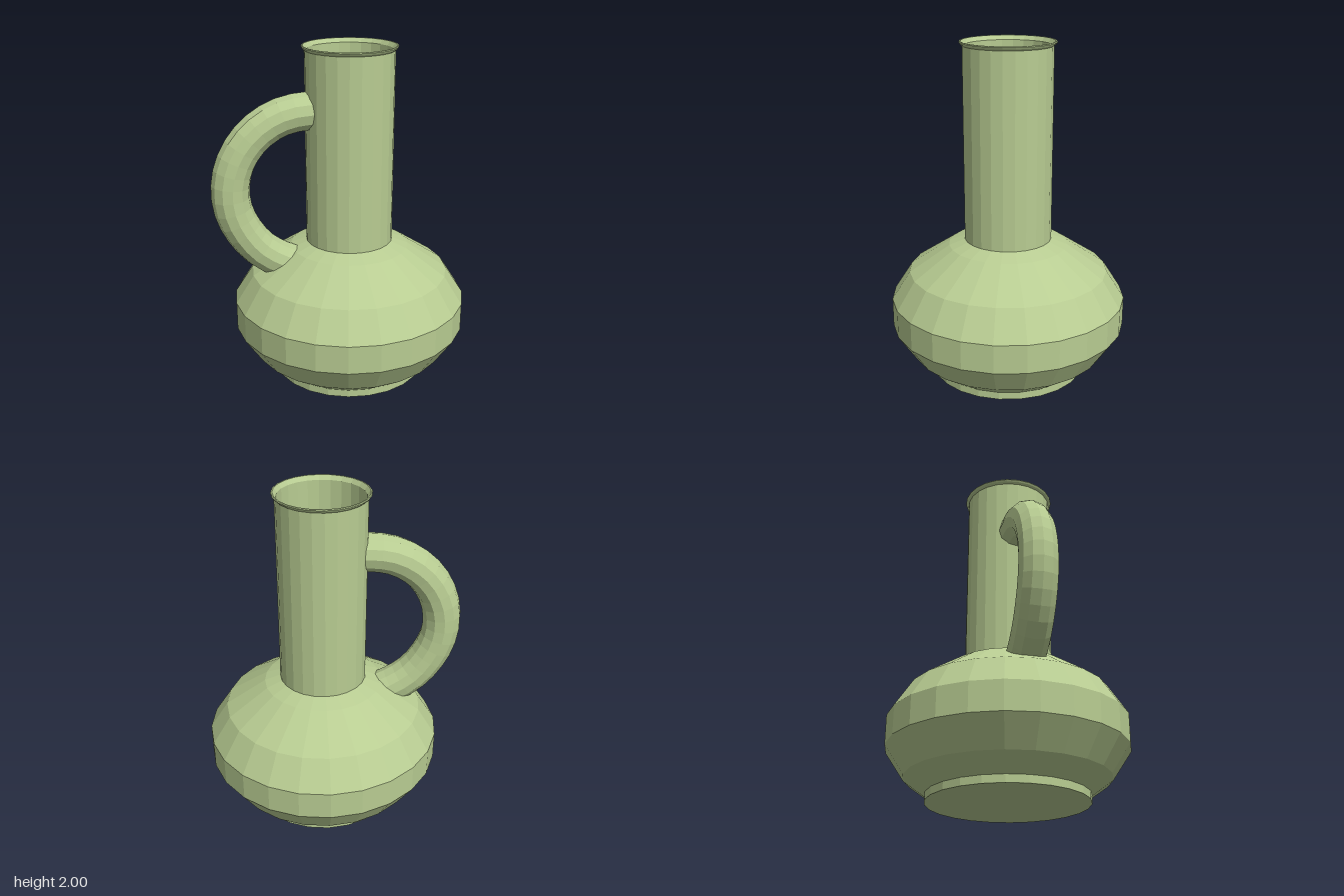
import * as THREE from 'three';

const SIDES = 24;
const AXIS_X = 0.06; // the jug's axis, shifted to balance the handle

function createLathe(name, profile, material) {
  const points = profile.map(([r, y]) => new THREE.Vector2(r, y));
  const mesh = new THREE.Mesh(new THREE.LatheGeometry(points, SIDES), material);
  mesh.name = name;
  mesh.position.x = AXIS_X;
  return mesh;
}

function createHandle(material) {
  // Round bow from the neck, then a straighter run into the shoulder
  const centre = new THREE.Vector2(-0.195, 1.18);
  const bow = 0.455;
  const points = [];
  for (let deg = 90; deg <= 210; deg += 15) {
    const a = THREE.MathUtils.degToRad(deg);
    points.push(new THREE.Vector3(centre.x + bow * Math.cos(a), centre.y + bow * Math.sin(a), 0));
  }
  for (const [x, y] of [[-0.505, 0.835], [-0.41, 0.76], [-0.29, 0.7], [-0.16, 0.64]]) {
    points.push(new THREE.Vector3(x, y, 0));
  }
  const radialSides = 12;
  const geometry = new THREE.TubeGeometry(new THREE.CatmullRomCurve3(points), 20, 0.113, radialSides, false);

  // Fit the upper end to the curve of the neck wall
  const pos = geometry.attributes.position;
  for (let i = 0; i <= radialSides; i++) {
    const z = pos.getZ(i);
    pos.setX(i, AXIS_X - Math.sqrt(0.2545 ** 2 - z * z));
  }
  const mesh = new THREE.Mesh(geometry, material);
  mesh.name = 'handle';
  return mesh;
}

export function createModel() {
  const glaze = new THREE.MeshStandardMaterial({ color: 0xb8cc92, flatShading: true });
  glaze.name = 'pale green glaze';

  const jug = new THREE.Group();
  jug.name = 'jug';

  jug.add(
    createLathe('foot', [[0, 0], [0.47, 0], [0.47, 0.045]], glaze),
    createLathe('body', [
      [0.47, 0.045], [0.595, 0.135], [0.705, 0.3], [0.705, 0.47],
      [0.595, 0.64], [0.355, 0.8], [0.26, 0.835],
    ], glaze),
    // Outer wall, flared rim, inner wall and floor
    createLathe('neck', [
      [0.26, 0.83], [0.26, 1.975], [0.272, 1.985], [0.278, 1.995],
      [0.275, 2], [0.268, 2], [0.25, 1.975], [0.248, 0.835], [0, 0.835],
    ], glaze),
    createHandle(glaze),
  );
  return jug;
}
